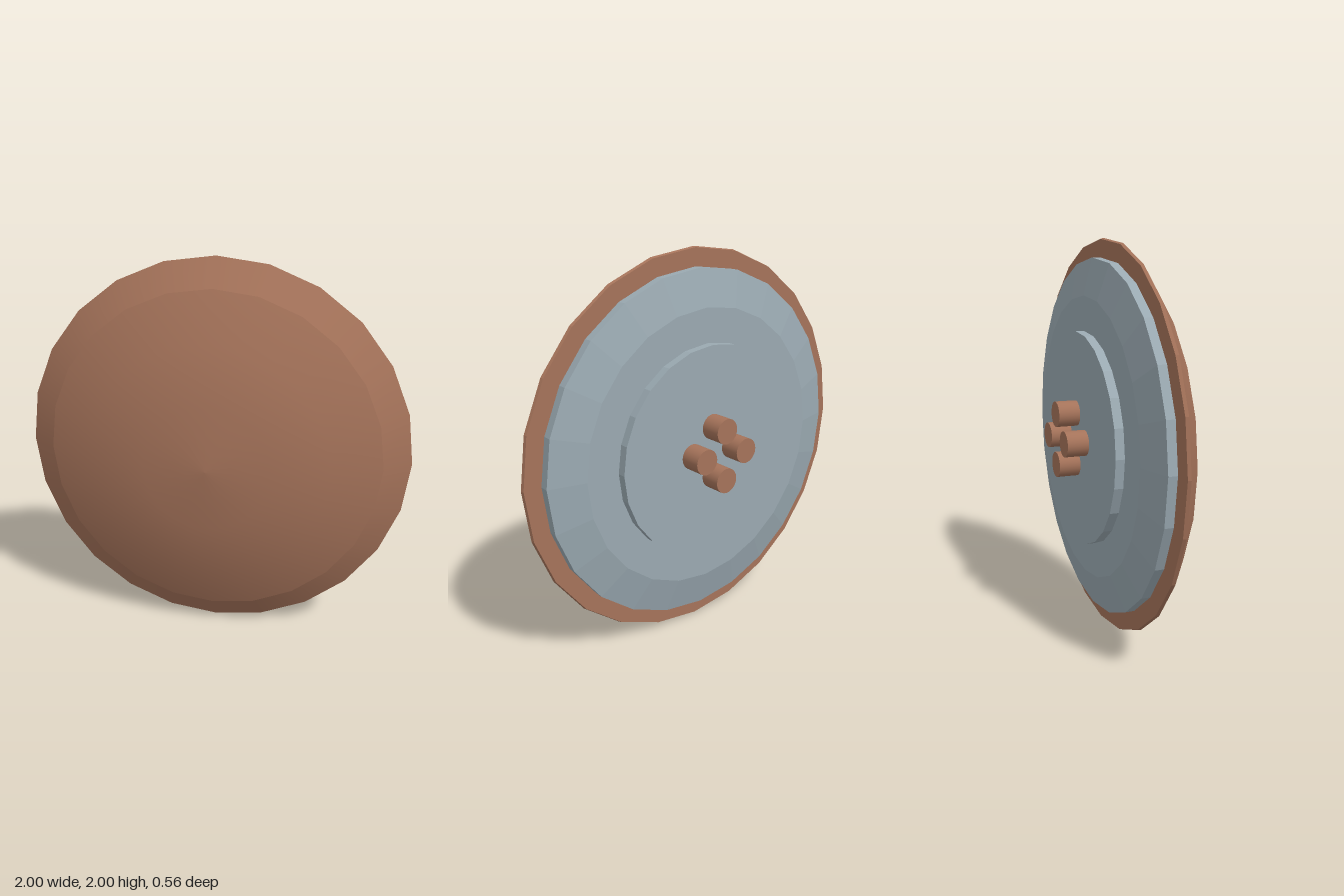
import * as THREE from 'three';

const SIDES = 24;

export function createModel() {
  const copper = new THREE.MeshStandardMaterial({ color: 0xa5735a });
  copper.name = 'copper brown';
  const steel = new THREE.MeshStandardMaterial({ color: 0x9aa9b1 });
  steel.name = 'steel grey';

  const model = new THREE.Group();
  model.name = 'roundShield';
  const disc = new THREE.Group();
  disc.name = 'shieldDisc';
  disc.position.y = 1;
  model.add(disc);

  // Turns a profile of [radius, z] points, listed back to front, about the z axis
  function turned(name, profile, material, faceted) {
    let geometry = new THREE.LatheGeometry(profile.map(([r, z]) => new THREE.Vector2(r, z)), SIDES);
    geometry.rotateX(Math.PI / 2);
    if (faceted) {
      geometry = geometry.toNonIndexed();
      geometry.computeVertexNormals();
    }
    const mesh = new THREE.Mesh(geometry, material);
    mesh.name = name;
    disc.add(mesh);
  }

  // Domed face: a smooth cap and a steeper outer band with a crease between
  turned('domeCap', [[0.86, 0.08], [0.61, 0.188], [0.32, 0.256], [0, 0.278]], copper, false);
  turned('domeBand', [[1, -0.02], [0.86, 0.08]], copper, false);
  turned('rim', [[0, -0.035], [0.995, -0.035], [1, -0.02]], copper, true);

  // Stepped backing plates
  turned('bevelledBacking', [[0, -0.125], [0.72, -0.125], [0.905, -0.08], [0.905, -0.034]], steel, true);
  turned('innerPlate', [[0, -0.17], [0.545, -0.17], [0.545, -0.124]], steel, true);

  // Four pegs in a diamond on the back
  const pegGeometry = new THREE.CylinderGeometry(0.065, 0.065, 0.112, SIDES);
  pegGeometry.rotateX(Math.PI / 2);
  for (let i = 0; i < 4; i++) {
    const angle = (i * Math.PI) / 2;
    const peg = new THREE.Mesh(pegGeometry, copper);
    peg.name = `peg${i + 1}`;
    peg.position.set(0.13 * Math.cos(angle), 0.13 * Math.sin(angle), -0.224);
    disc.add(peg);
  }

  return model;
}
